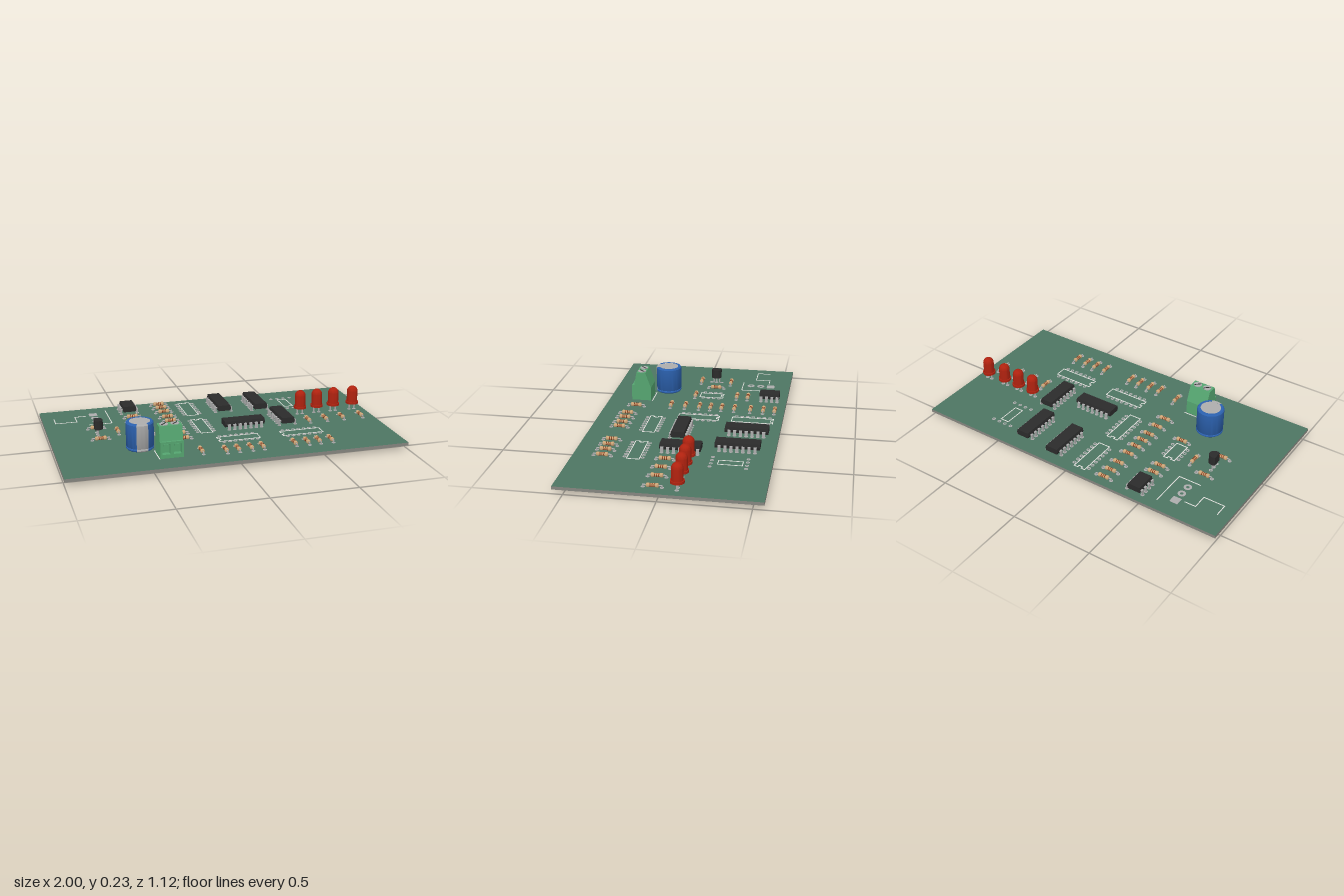
import * as THREE from 'three';
import { toCreasedNormals } from 'three/addons/utils/BufferGeometryUtils.js';

const mat = (name, color) => {
  const m = new THREE.MeshStandardMaterial({ color });
  m.name = name;
  return m;
};
const M = {
  board: mat('board green', 0x4d7562), edge: mat('board edge grey', 0x85857f),
  black: mat('black plastic', 0x2b2b2b), metal: mat('metal grey', 0xadadad),
  silk: mat('print white', 0xe4e4e0), blue: mat('sleeve blue', 0x2c62b0),
  green: mat('terminal green', 0x55a570), red: mat('lamp red', 0xb0220f),
  tan: mat('resistor tan', 0xcda678), brown: mat('band brown', 0x8a4020),
};
const TOP = 0.045, BOTTOM = 0.027, PITCH = 0.034, ROW = 0.051;
const V = (x, y) => new THREE.Vector2(x, y);
const lathe = (pts, seg = 24, start = 0, len = Math.PI * 2) =>
  toCreasedNormals(new THREE.LatheGeometry(pts.map(p => V(...p)), seg, start, len), 0.6);
const poly = pts => new THREE.Shape(pts.map(p => V(...p)));
const extrude = (shape, depth) => new THREE.ExtrudeGeometry(shape, { depth, bevelEnabled: false, curveSegments: 16 });

function add(parent, name, geo, material, x = 0, y = 0, z = 0) {
  const m = new THREE.Mesh(geo, material);
  m.name = name;
  m.position.set(x, y, z);
  parent.add(m);
  return m;
}
function group(parent, name, x, z, turned = false) {
  const g = new THREE.Group();
  g.name = name;
  g.position.set(x, 0, z);
  if (turned) g.rotation.y = Math.PI / 2;
  parent.add(g);
  return g;
}

// Solder pad: a ring reaching through the board
const padGeo = lathe([[0.005, 0.025], [0.0115, 0.025], [0.0115, 0.047], [0.005, 0.047], [0.005, 0.025]], 12);
const pad = (p, x, z) => add(p, 'solderPad', padGeo, M.metal, x, 0, z);
// Vertical wire from height y0 to y1
const wire = (p, x, z, y1, y0 = 0.004, r = 0.005) =>
  add(p, 'lead', new THREE.CylinderGeometry(r, r, y1 - y0, 8), M.metal, x, (y0 + y1) / 2, z);
// Printed line between two points on the board
function line(p, x1, z1, x2, z2, w = 0.005) {
  const m = add(p, 'printedLine', new THREE.BoxGeometry(Math.hypot(x2 - x1, z2 - z1) + w, 0.002, w), M.silk,
    (x1 + x2) / 2, TOP + 0.001, (z1 + z2) / 2);
  m.rotation.y = -Math.atan2(z2 - z1, x2 - x1);
}
function path(p, pts) {
  for (let i = 1; i < pts.length; i++) line(p, ...pts[i - 1], ...pts[i]);
}

// Two rows of pads with a notched printed outline; long axis on z
function footprint(parent, name, x, z, pins, turned, outline = true) {
  const g = group(parent, name, x, z, turned);
  for (let i = 0; i < pins; i++)
    for (const s of [-1, 1]) pad(g, s * ROW, (i - (pins - 1) / 2) * PITCH);
  const w = 0.036, h = pins * PITCH / 2 + 0.006;
  if (outline)
    path(g, [[-0.012, -h], [-w, -h], [-w, h], [w, h], [w, -h], [0.012, -h], [0.012, -h + 0.014], [-0.012, -h + 0.014], [-0.012, -h]]);
  return g;
}

// Chip with waisted sides and two rows of bent legs
function chip(parent, x, z, pins, len, turned) {
  const g = footprint(parent, 'chip', x, z, pins, turned, false);
  const section = poly([[-0.038, 0.06], [0.038, 0.06], [0.043, 0.076], [0.038, 0.095], [-0.038, 0.095], [-0.043, 0.076]]);
  add(g, 'chipBody', extrude(section, len), M.black, 0, 0, -len / 2);
  for (let i = 0; i < pins; i++) {
    const pz = (i - (pins - 1) / 2) * PITCH;
    for (const s of [-1, 1]) {
      add(g, 'legShoulder', new THREE.BoxGeometry(0.014, 0.005, 0.018), M.metal, s * 0.046, 0.076, pz);
      add(g, 'legUpper', new THREE.BoxGeometry(0.005, 0.032, 0.018), M.metal, s * ROW, 0.062, pz);
      add(g, 'legTip', new THREE.BoxGeometry(0.005, 0.04, 0.007), M.metal, s * ROW, 0.027, pz);
    }
  }
}

// Resistor with thick ends, bands and bent leads; long axis on x
const resistorGeo = lathe([[0, -0.034], [0.008, -0.034], [0.0125, -0.03], [0.0125, -0.02], [0.01, -0.016],
  [0.01, 0.016], [0.0125, 0.02], [0.0125, 0.03], [0.008, 0.034], [0, 0.034]], 14).rotateZ(Math.PI / 2);
const bandGeo = new THREE.CylinderGeometry(0.0106, 0.0106, 0.005, 14).rotateZ(Math.PI / 2);
const leadGeo = new THREE.CylinderGeometry(0.004, 0.004, 0.106, 8).rotateZ(Math.PI / 2);
function resistor(parent, x, z, turned) {
  const g = group(parent, 'resistor', x, z, turned);
  add(g, 'resistorBody', resistorGeo, M.tan, 0, 0.058, 0);
  for (const bx of [-0.011, 0, 0.011]) add(g, 'colourBand', bandGeo, M.brown, bx, 0.058, 0);
  add(g, 'leadBar', leadGeo, M.metal, 0, 0.058, 0);
  for (const s of [-1, 1]) {
    wire(g, s * 0.051, 0, 0.06, 0.006, 0.004);
    pad(g, s * 0.051, 0);
  }
}

// Domed lamp on two legs
const dome = [[0, 0.086], [0.039, 0.086], [0.039, 0.1], [0.033, 0.1]];
for (let i = 0; i <= 8; i++) {
  const a = i / 8 * Math.PI / 2;
  dome.push([0.033 * Math.cos(a), 0.167 + 0.033 * Math.sin(a)]);
}
const domeGeo = lathe(dome, 28);
function lamp(parent, x, z) {
  const g = group(parent, 'lamp', x, z);
  add(g, 'lampDome', domeGeo, M.red);
  for (const s of [-1, 1]) {
    wire(g, s * 0.017, 0, 0.09, 0.002);
    pad(g, s * 0.017, 0);
  }
}

// Round capacitor: blue sleeve with a grey stripe facing front
function capacitor(parent, x, z) {
  const g = group(parent, 'capacitor', x, z);
  const profile = [[0, 0.047], [0.074, 0.047], [0.08, 0.053], [0.08, 0.06], [0.077, 0.064], [0.08, 0.069],
    [0.08, 0.204], [0.075, 0.211], [0.06, 0.211]];
  const half = 0.44;
  add(g, 'sleeve', lathe(profile, 40, half, Math.PI * 2 - half * 2), M.blue);
  add(g, 'stripe', lathe(profile, 8, -half, half * 2), M.metal);
  add(g, 'canTop', new THREE.CylinderGeometry(0.061, 0.061, 0.006, 32), M.metal, 0, 0.207, 0);
  for (const s of [-1, 1]) {
    wire(g, s * 0.034, 0, 0.05);
    pad(g, s * 0.034, 0);
  }
}

// Screw terminal with two wire openings
function terminal(parent, x, z) {
  const g = group(parent, 'screwTerminal', x, 0), w = 0.134;
  const side = poly([[0.294, TOP], [0.385, TOP], [0.385, 0.14], [0.403, 0.14], [0.387, 0.227], [0.33, 0.227], [0.294, 0.13]]);
  add(g, 'terminalBody', extrude(side, w).rotateY(-Math.PI / 2), M.green, w / 2);
  const frame = poly([[-w / 2, TOP], [w / 2, TOP], [w / 2, 0.142], [-w / 2, 0.142]]);
  for (const s of [-1, 1]) {
    const c = s * 0.032;
    frame.holes.push(new THREE.Path([[-0.023, 0.068], [-0.023, 0.13], [0.023, 0.13], [0.023, 0.068]].map(p => V(c + p[0], p[1]))));
    add(g, 'clamp', new THREE.BoxGeometry(0.026, 0.012, 0.016), M.green, c, 0.115, 0.392);
    add(g, 'screw', new THREE.CylinderGeometry(0.025, 0.025, 0.006, 20), M.metal, c, 0.227, 0.357);
    const slot = add(g, 'screwSlot', new THREE.BoxGeometry(0.044, 0.002, 0.006), M.black, c, 0.2305, 0.357);
    slot.rotation.y = Math.PI / 4;
    wire(g, c, z, 0.05);
    pad(g, c, z);
  }
  add(g, 'openingFrame', extrude(frame, 0.032), M.green, 0, 0, 0.385);
  path(g, [[-0.072, 0.42], [-0.072, 0.284], [0.072, 0.284]]);
}

// Small transistor with one flat side
function transistor(parent, x, z) {
  const g = group(parent, 'transistor', x, z);
  const d = new THREE.Shape();
  const a = Math.PI - 0.973;
  d.absarc(0, 0, 0.032, -a, a, false);
  d.closePath();
  add(g, 'transistorBody', toCreasedNormals(extrude(d, 0.056).rotateX(-Math.PI / 2), 0.6), M.black, 0, 0.083, 0);
  for (const k of [-1, 0, 1]) {
    wire(g, 0, k * 0.018, 0.085);
    pad(g, 0, k * 0.034);
  }
}

export function createModel() {
  const root = new THREE.Group();
  root.name = 'circuitBoard';
  add(root, 'board', new THREE.BoxGeometry(2, TOP - BOTTOM, 1.12),
    [M.edge, M.edge, M.board, M.board, M.edge, M.edge], 0, (TOP + BOTTOM) / 2, 0);

  // Chips
  chip(root, -0.455, -0.45, 4, 0.125, false);
  chip(root, 0.123, -0.371, 7, 0.256, false);
  chip(root, 0.355, -0.345, 7, 0.256, false);
  chip(root, 0.428, -0.03, 7, 0.235, false);
  chip(root, 0.163, 0.016, 7, 0.25, true);

  // Empty sockets
  for (const [x, z, pins, turned] of [[-0.08, -0.38, 7, false], [-0.08, -0.05, 7, false], [-0.46, -0.077, 4, false],
    [0.075, 0.206, 7, true], [0.465, 0.214, 7, true]]) footprint(root, 'emptySocket', x, z, pins, turned);

  // Empty wide socket
  const wide = group(root, 'wideSocket', 0.556, -0.322);
  for (const px of [-0.064, -0.021, 0.021, 0.064]) for (const s of [-1, 1]) pad(wide, px, s * 0.1);
  path(wide, [[-0.027, -0.075], [0.027, -0.075], [0.027, 0.062], [-0.027, 0.062], [-0.027, -0.075]]);

  // Empty three-way connector
  const conn = group(root, 'connectorFootprint', -0.68, -0.37);
  add(conn, 'squarePad', new THREE.BoxGeometry(0.05, 0.022, 0.05), M.metal, 0, 0.036, -0.066);
  for (const z of [0, 0.064]) {
    const p = pad(conn, 0, z);
    p.scale.set(2.1, 1, 2.1);
  }
  path(conn, [[0.087, -0.12], [0.087, 0.117], [-0.05, 0.117]]);
  path(conn, [[-0.05, -0.05], [-0.117, -0.05], [-0.117, 0.041], [-0.247, 0.041], [-0.247, -0.038]]);

  // Resistors across, then resistors front to back
  for (const z of [-0.5, -0.43, -0.35, -0.25, -0.17, -0.1, -0.03, 0.06, 0.15]) resistor(root, -0.245, z, false);
  for (const [x, z] of [[-0.455, -0.31], [-0.455, -0.24], [-0.705, -0.17], [-0.71, 0.025], [-0.44, 0.025]]) resistor(root, x, z, false);
  resistor(root, -0.59, -0.085, true);
  resistor(root, -0.195, 0.365, true);
  for (const x of [-0.06, 0.013, 0.09, 0.16, 0.355, 0.433, 0.503, 0.58]) resistor(root, x, 0.39, true);
  for (const x of [0.576, 0.687, 0.797, 0.922]) resistor(root, x, 0.035, true);

  for (const x of [0.573, 0.684, 0.795, 0.924]) lamp(root, x, -0.098);
  capacitor(root, -0.517, 0.216);
  terminal(root, -0.377, 0.35);
  transistor(root, -0.712, -0.072);
  return root;
}
